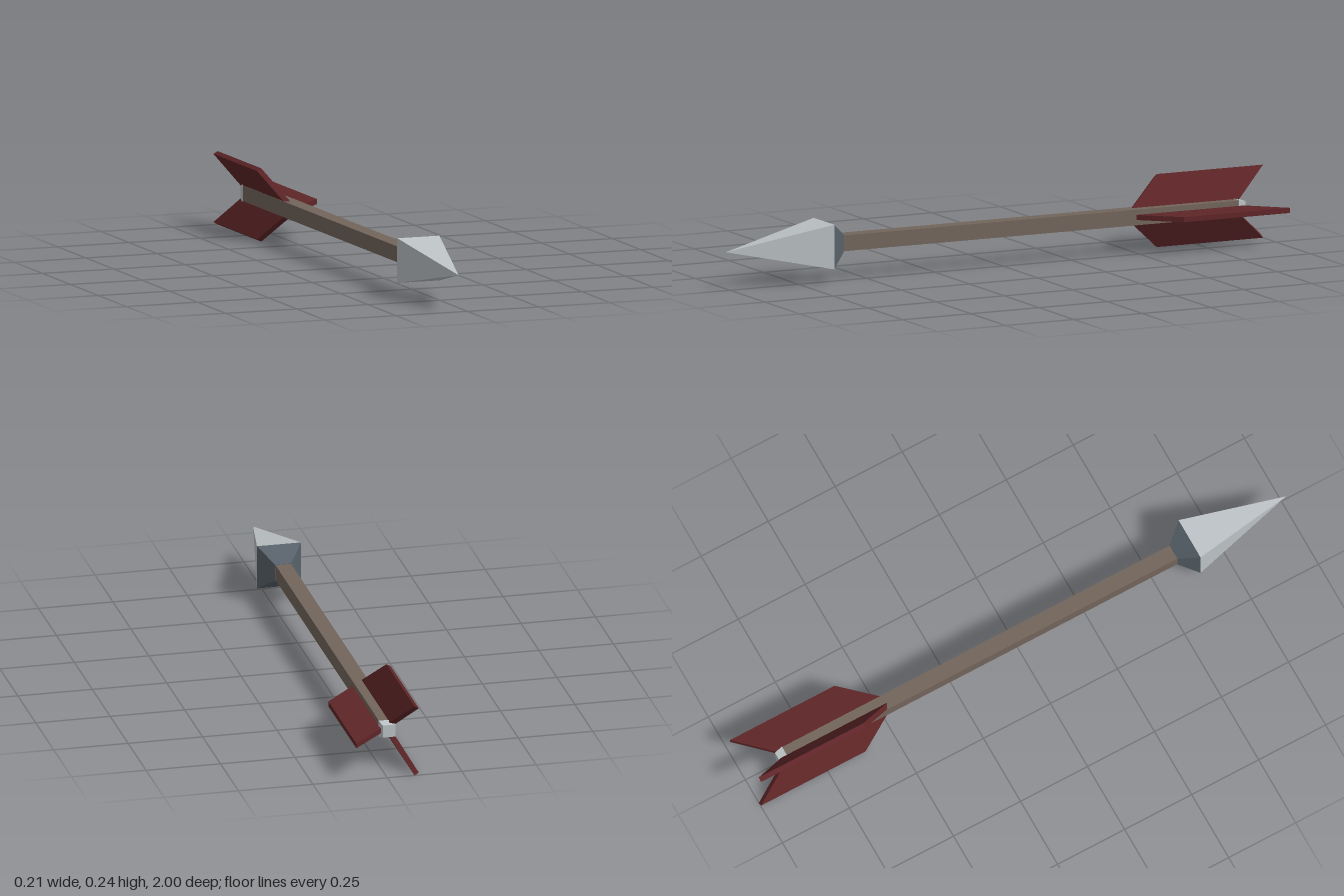
import * as THREE from 'three';

const material = (name, color) => {
  const m = new THREE.MeshStandardMaterial({ color, flatShading: true });
  m.name = name;
  return m;
};

export function createModel() {
  const wood = material('wood', 0x73655b);
  const steel = material('pale steel', 0xbcc2c5);
  const darkSteel = material('dark steel', 0x58626a);
  const feather = material('dark red feather', 0x5e2527);

  const arrow = new THREE.Group();
  arrow.name = 'arrow';
  arrow.position.set(-0.031, 0.122, 0);

  const add = (name, geometry, mat) => {
    const mesh = new THREE.Mesh(geometry, mat);
    mesh.name = name;
    arrow.add(mesh);
    return mesh;
  };

  // Square section along z, with a half width at each end
  const taper = (name, mat, zBack, halfBack, zFront, halfFront, open = false) => {
    const s = Math.SQRT2;
    const g = new THREE.CylinderGeometry(halfFront * s, halfBack * s, zFront - zBack, 4, 1, open);
    g.rotateY(Math.PI / 4).rotateX(Math.PI / 2).translate(0, 0, (zFront + zBack) / 2);
    return add(name, g, mat);
  };

  taper('shaft', wood, -0.87, 0.026, 0.585, 0.026);
  taper('headTip', steel, 0.64, 0.074, 1, 0, true);
  taper('headCollar', darkSteel, 0.58, 0.027, 0.64, 0.074);

  // Nock at the rear, slightly narrowed toward its end
  taper('nock', steel, -0.895, 0.021, -0.866, 0.028);

  // Three swept fins around the shaft, drawn as (radius, z)
  const outline = new THREE.Shape([
    [0.015, -0.48], [0.135, -0.61], [0.135, -1], [0.015, -0.875],
  ].map(([r, z]) => new THREE.Vector2(r, z)));
  const thickness = 0.017;
  const finGeometry = new THREE.ExtrudeGeometry(outline, { depth: thickness, bevelEnabled: false });
  finGeometry.translate(0, 0, -thickness / 2).rotateX(Math.PI / 2);
  for (let i = 0; i < 3; i++) {
    add('fin' + (i + 1), finGeometry, feather).rotation.z = (i * Math.PI * 2) / 3;
  }

  const model = new THREE.Group();
  model.name = 'model';
  model.add(arrow);
  return model;
}
